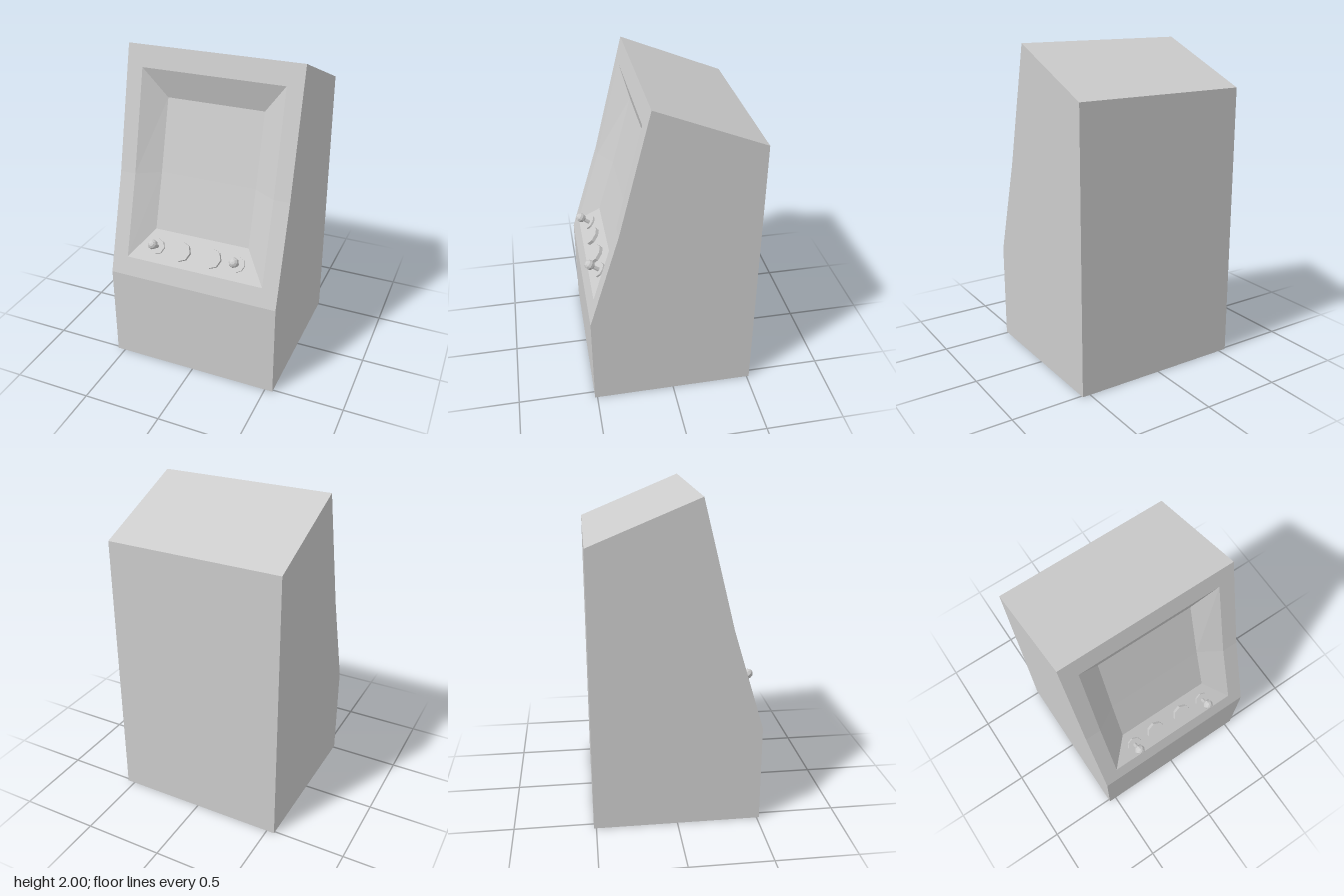
import * as THREE from 'three';

const W = 0.55;
const material = new THREE.MeshStandardMaterial({ color: 0xcccccc, flatShading: true });

// Convex-fan faces, corners counter-clockwise seen from outside
function facesMesh(name, faces) {
  const pos = [];
  for (const f of faces)
    for (let i = 1; i < f.length - 1; i++) pos.push(...f[0], ...f[i], ...f[i + 1]);
  const g = new THREE.BufferGeometry();
  g.setAttribute('position', new THREE.Float32BufferAttribute(pos, 3));
  g.computeVertexNormals();
  const mesh = new THREE.Mesh(g, material);
  mesh.name = name;
  return mesh;
}

// Strip between two [y, z] levels, each with its own left and right x
const strip = ([y0, z0], [y1, z1], a0, b0, a1 = a0, b1 = b0) =>
  [[a0, y0, z0], [b0, y0, z0], [b1, y1, z1], [a1, y1, z1]];

function part(name, geometry, y) {
  const mesh = new THREE.Mesh(geometry, material);
  mesh.name = name;
  mesh.position.y = y;
  return mesh;
}

export function createModel() {
  const model = new THREE.Group();
  model.name = 'arcadeCabinet';

  // Levels as [y, z]
  const backBottom = [0, -0.515], frontBottom = [0, 0.515], ledge = [0.615, 0.515];
  const bend = [1.24, 0.325], top = [2, 0.135], backTop = [1.735, -0.515];
  const rim = [[0.73, 0.48], bend, [1.87, 0.1675]];
  const inner = [[0.893, 0.345], [1.24, 0.24], [1.685, 0.118]];
  const rimX = 0.45, innerX = 0.31;

  // Cabinet shell with a framed opening in the sloped front
  const shell = [
    strip(frontBottom, ledge, -W, W),
    strip(ledge, rim[0], -W, W),
    strip(rim[2], top, -W, W),
    strip(top, backTop, -W, W),
    strip(backTop, backBottom, -W, W),
    strip(backBottom, frontBottom, -W, W),
  ];
  for (let i = 0; i < 2; i++) {
    shell.push(strip(rim[i], rim[i + 1], -W, -rimX), strip(rim[i], rim[i + 1], rimX, W));
  }
  const profile = [backBottom, backTop, top, bend, ledge, frontBottom];
  shell.push(profile.map(([y, z]) => [W, y, z]));
  shell.push([profile[0], ...profile.slice(1).reverse()].map(([y, z]) => [-W, y, z]));
  model.add(facesMesh('cabinet', shell));

  // Recess: control shelf, hood, side walls and screen
  model.add(facesMesh('controlShelf', [strip(rim[0], inner[0], -rimX, rimX, -innerX, innerX)]));
  model.add(facesMesh('hood', [strip(inner[2], rim[2], -innerX, innerX, -rimX, rimX)]));
  const walls = [], screen = [];
  for (let i = 0; i < 2; i++) {
    screen.push(strip(inner[i], inner[i + 1], -innerX, innerX));
    for (const s of [-1, 1]) {
      const wall = [
        [s * rimX, ...rim[i]], [s * innerX, ...inner[i]],
        [s * innerX, ...inner[i + 1]], [s * rimX, ...rim[i + 1]],
      ];
      walls.push(s < 0 ? wall : wall.reverse());
    }
  }
  model.add(facesMesh('screen', screen), facesMesh('recessWalls', walls));

  // Controls stand square to the tilted shelf
  const controls = new THREE.Group();
  controls.name = 'controls';
  controls.position.set(0, 0.809, 0.415);
  controls.rotation.x = 0.885;
  for (const s of [-1, 1]) {
    const button = part('button', new THREE.CylinderGeometry(0.062, 0.062, 0.03, 8), 0.007);
    button.position.x = s * 0.102;

    const joystick = new THREE.Group();
    joystick.name = 'joystick';
    joystick.position.x = s * 0.268;
    joystick.add(
      part('joystickBase', new THREE.CylinderGeometry(0.049, 0.049, 0.022, 8), 0.001),
      part('joystickStick', new THREE.CylinderGeometry(0.013, 0.013, 0.07, 8), 0.04),
      part('joystickBall', new THREE.SphereGeometry(0.032, 8, 6), 0.08),
    );
    controls.add(button, joystick);
  }
  model.add(controls);
  return model;
}
